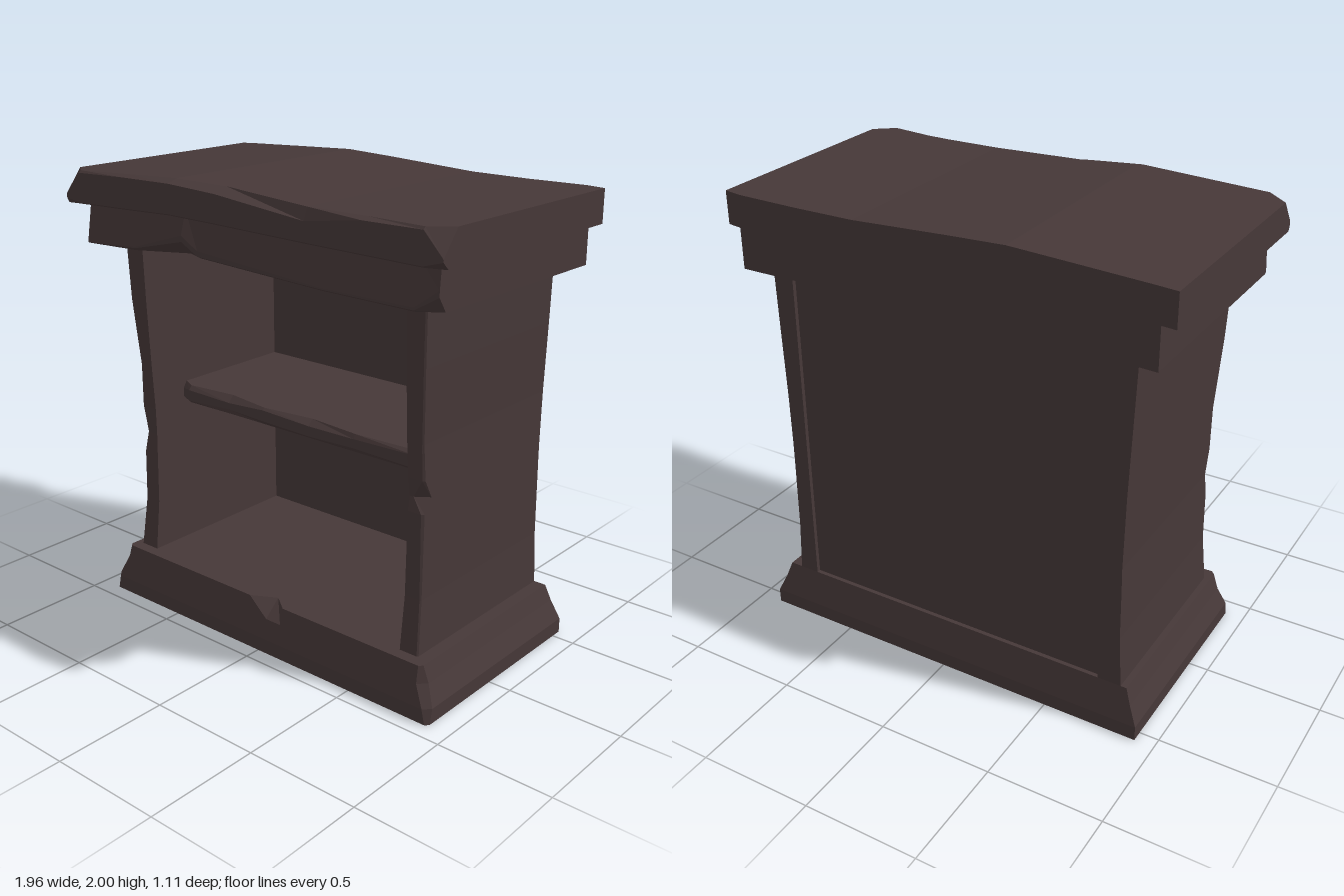
import * as THREE from 'three';

const wood = new THREE.MeshStandardMaterial({ color: 0x463838, flatShading: true });
wood.name = 'darkWood';

// Closed solid through a row of loops with equal point counts, capped at both ends.
function loft(name, loops) {
  const n = loops[0].length;
  const pos = loops.flat(2);
  let tris = [];
  for (let s = 0; s < loops.length - 1; s++) {
    for (let i = 0; i < n; i++) {
      const a = s * n + i, b = s * n + (i + 1) % n;
      tris.push([a, b, b + n], [a, b + n, a + n]);
    }
  }
  [0, loops.length - 1].forEach((s, end) => {
    const c = pos.length / 3;
    for (let k = 0; k < 3; k++) pos.push(loops[s].reduce((t, p) => t + p[k], 0) / n);
    for (let i = 0; i < n; i++) {
      const a = s * n + i, b = s * n + (i + 1) % n;
      tris.push(end ? [a, b, c] : [b, a, c]);
    }
  });
  // Turn the faces outward
  const v = i => new THREE.Vector3(...pos.slice(i * 3, i * 3 + 3));
  const volume = tris.reduce((t, [a, b, c]) => t + v(a).dot(v(b).cross(v(c))), 0);
  if (volume < 0) tris = tris.map(([a, b, c]) => [a, c, b]);
  let geo = new THREE.BufferGeometry();
  geo.setAttribute('position', new THREE.Float32BufferAttribute(pos, 3));
  geo.setIndex(tris.flat());
  geo = geo.toNonIndexed();
  geo.computeVertexNormals();
  const mesh = new THREE.Mesh(geo, wood);
  mesh.name = name;
  return mesh;
}

// Board along x; each station: x, bottom, top, back, front,
// top chip depth and height, bottom chip depth and height.
const board = (name, stations) => loft(name, stations.map(
  ([x, y0, y1, zb, zf, td, th, bd, bh]) => [
    [x, y0, zb], [x, y1, zb], [x, y1, zf - td], [x, y1 - th, zf],
    [x, y0 + bh, zf], [x, y0, zf - bd],
  ]));

// Upright side; each level: y, outer x, front z, worn corner width and depth.
const side = (name, s, inner, levels) => loft(name, levels.map(
  ([y, outer, zf, cw, cd]) => [
    [s * inner, y, -0.52], [s * outer, y, -0.52], [s * outer, y, zf - cd],
    [s * (outer - cw), y, zf], [s * inner, y, zf],
  ]));

export function createModel() {
  const group = new THREE.Group();
  group.name = 'cabinet';

  // Warped top with broken front corners
  group.add(board('topSlab', [
    [-0.98, 1.83, 1.97, -0.555, 0.525, 0.08, 0.1, 0.01, 0.02],
    [-0.89, 1.835, 1.975, -0.555, 0.527, 0.01, 0.01, 0.005, 0.005],
    [-0.60, 1.847, 1.988, -0.555, 0.542, 0.03, 0.01, 0.005, 0.005],
    [-0.32, 1.86, 2.0, -0.555, 0.555, 0.05, 0.015, 0.005, 0.005],
    [-0.08, 1.852, 1.99, -0.555, 0.54, 0.07, 0.02, 0.005, 0.005],
    [0.35, 1.835, 1.968, -0.555, 0.515, 0.02, 0.05, 0.005, 0.005],
    [0.62, 1.833, 1.967, -0.555, 0.522, 0.035, 0.01, 0.005, 0.005],
    [0.89, 1.83, 1.97, -0.555, 0.525, 0.01, 0.01, 0.005, 0.005],
    [0.975, 1.83, 1.97, -0.54, 0.525, 0.08, 0.1, 0.03, 0.03],
  ]));

  // Moulding under the top
  group.add(board('cornice', [
    [-0.92, 1.655, 1.84, -0.55, 0.475, 0.03, 0.18, 0.01, 0.005],
    [-0.62, 1.665, 1.85, -0.55, 0.475, 0.03, 0.17, 0.01, 0.01],
    [-0.34, 1.685, 1.865, -0.55, 0.475, 0.03, 0.1, 0.05, 0.055],
    [-0.25, 1.683, 1.865, -0.55, 0.475, 0.03, 0.15, 0.02, 0.01],
    [0.40, 1.66, 1.84, -0.55, 0.475, 0.03, 0.17, 0.005, 0.005],
    [0.82, 1.655, 1.84, -0.55, 0.475, 0.03, 0.17, 0.005, 0.005],
    [0.91, 1.655, 1.84, -0.55, 0.45, 0.01, 0.1, 0.04, 0.06],
  ]));

  // Sides, waisted, with nicks in the front edges
  group.add(side('rightSide', -1, 0.725, [
    [0.2, 0.83, 0.34, 0.01, 0.01], [0.45, 0.815, 0.312, 0.01, 0.01],
    [0.68, 0.812, 0.308, 0.008, 0.01], [0.78, 0.81, 0.306, 0.03, 0.03],
    [0.9, 0.812, 0.308, 0.008, 0.01], [1.1, 0.815, 0.32, 0.025, 0.03],
    [1.4, 0.825, 0.335, 0.008, 0.01], [1.7, 0.835, 0.345, 0.01, 0.01],
  ]));
  group.add(side('leftSide', 1, 0.69, [
    [0.2, 0.78, 0.34, 0.006, 0.006], [0.45, 0.767, 0.312, 0.006, 0.006],
    [0.81, 0.763, 0.306, 0.01, 0.01], [0.87, 0.763, 0.295, 0.055, 0.04],
    [0.95, 0.764, 0.308, 0.008, 0.01], [1.1, 0.766, 0.32, 0.006, 0.006],
    [1.4, 0.775, 0.335, 0.006, 0.006], [1.7, 0.783, 0.345, 0.006, 0.006],
  ]));

  // Back panel, slightly recessed
  const back = new THREE.Mesh(new THREE.BoxGeometry(1.45, 1.54, 0.022), wood);
  back.name = 'backPanel';
  back.position.set(-0.018, 0.96, -0.491);
  group.add(back);

  // Shelf with a worn front edge
  group.add(board('shelf', [
    [-0.73, 0.905, 0.985, -0.49, 0.13, 0.02, 0.03, 0.01, 0.01],
    [-0.66, 0.905, 0.985, -0.49, 0.16, 0.015, 0.02, 0.01, 0.01],
    [-0.42, 0.905, 0.985, -0.49, 0.15, 0.03, 0.03, 0.005, 0.02],
    [-0.2, 0.905, 0.985, -0.49, 0.165, 0.01, 0.01, 0.02, 0.02],
    [0.05, 0.905, 0.985, -0.49, 0.155, 0.03, 0.025, 0.01, 0.01],
    [0.3, 0.905, 0.985, -0.49, 0.16, 0.01, 0.02, 0.015, 0.02],
    [0.62, 0.905, 0.985, -0.49, 0.155, 0.02, 0.015, 0.01, 0.01],
    [0.7, 0.905, 0.985, -0.49, 0.14, 0.02, 0.03, 0.01, 0.01],
  ]));

  // Plinth; each level: y, left x, right x, back z, front z, corner cut, notch depth
  group.add(loft('plinth', [
    [0, -0.915, 0.9, -0.55, 0.43, 0.015, 0],
    [0.065, -0.915, 0.9, -0.55, 0.43, 0.03, 0],
    [0.15, -0.88, 0.86, -0.533, 0.408, 0.035, 0],
    [0.22, -0.855, 0.835, -0.52, 0.39, 0.015, 0.06],
  ].map(([y, x0, x1, zb, zf, c, notch]) => [
    [x0, y, zb], [x1, y, zb], [x1, y, zf - c], [x1 - c, y, zf],
    [0.11, y, zf], [0.03, y, zf - notch], [-0.08, y, zf],
    [x0 + c, y, zf], [x0, y, zf - c],
  ])));

  return group;
}
